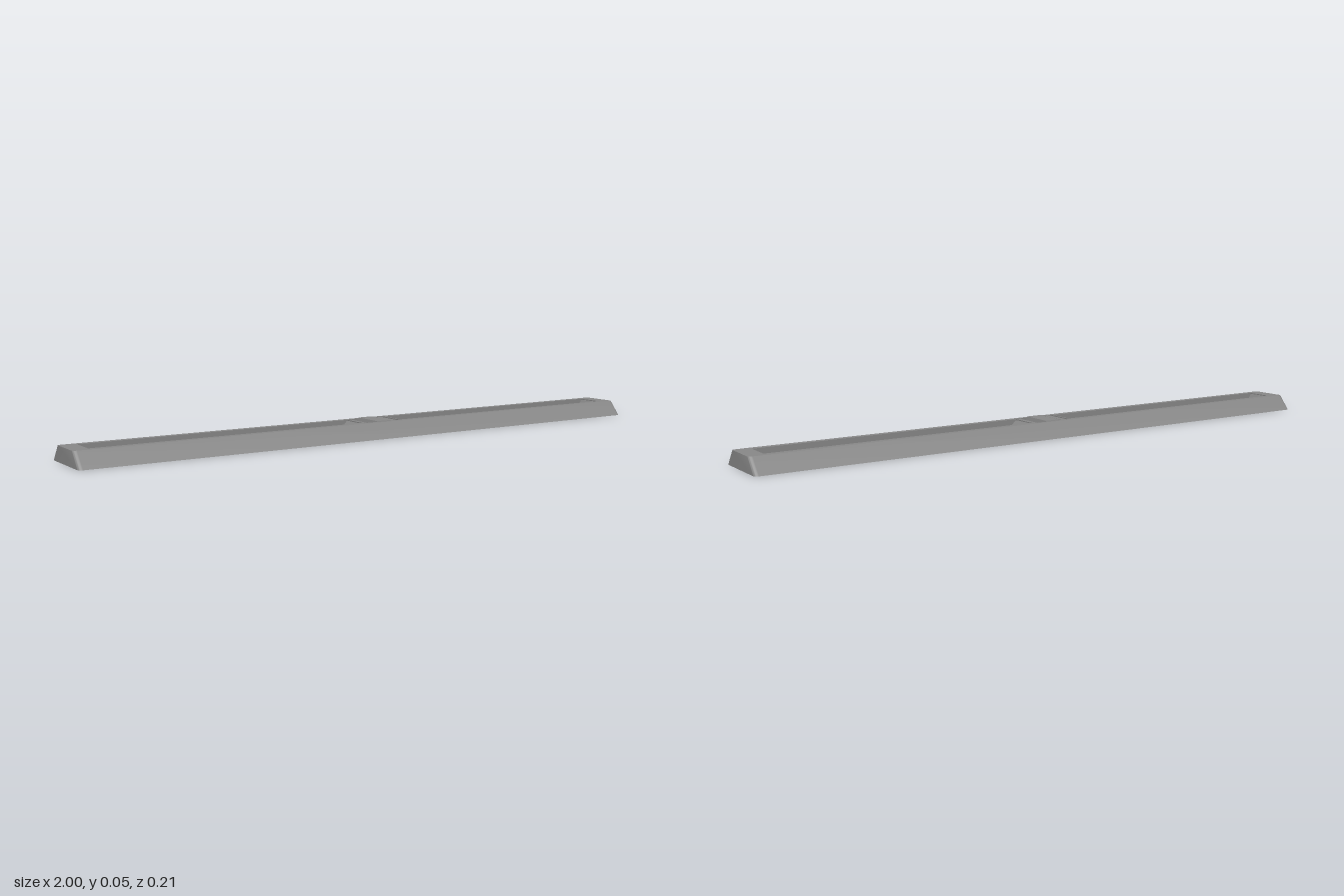
import * as THREE from 'three';
import { toCreasedNormals } from 'three/addons/utils/BufferGeometryUtils.js';

const HEIGHT = 0.047;
const FLOOR = 0.02;

export function createModel() {
  const group = new THREE.Group();
  const material = new THREE.MeshStandardMaterial({ color: 0x888888 });

  const add = (name, geometry) => {
    const mesh = new THREE.Mesh(geometry, material);
    mesh.name = name;
    group.add(mesh);
  };
  const polygon = (points) => points.map(([x, y]) => new THREE.Vector2(x, y));
  const rectangle = (x0, x1, z) => polygon([[x0, -z], [x0, z], [x1, z], [x1, -z]]);
  const extrude = (points, depth, holes = []) => {
    const shape = new THREE.Shape(points);
    shape.holes = holes.map((h) => new THREE.Path(h));
    return new THREE.ExtrudeGeometry(shape, { depth, bevelEnabled: false });
  };

  // Outline with small rounded corners
  const outline = [];
  const radius = 0.012;
  [[1, 1], [-1, 1], [-1, -1], [1, -1]].forEach(([sx, sz], corner) => {
    for (let i = 0; i <= 5; i++) {
      const angle = (corner + i / 5) * Math.PI / 2;
      outline.push(new THREE.Vector2(
        sx * (1 - radius) + radius * Math.cos(angle),
        sz * (0.103 - radius) + radius * Math.sin(angle),
      ));
    }
  });

  // Long housing with three openings
  const slots = [[-0.95, -0.065], [0.08, 0.95]];
  const holes = slots.map(([a, b]) => rectangle(a, b, 0.042));
  holes.push(rectangle(-0.06, 0.075, 0.058));
  const housing = extrude(outline, HEIGHT, holes).rotateX(-Math.PI / 2);

  // Slope the long outer sides inwards towards the top
  const p = housing.attributes.position;
  for (let i = 0; i < p.count; i++) {
    if (Math.abs(p.getX(i)) > 0.98 && p.getY(i) > HEIGHT / 2) p.setZ(i, p.getZ(i) * 0.6);
  }
  add('housing', toCreasedNormals(housing, 0.6));

  // Each slot has a floor, a long bevelled strip and a block at both ends
  slots.forEach(([a, b], i) => {
    const side = i === 0 ? 'right' : 'left';
    const floor = new THREE.BoxGeometry(b - a, FLOOR, 0.084);
    add(side + 'SlotFloor', floor.translate((a + b) / 2, FLOOR / 2, 0));

    const x0 = i === 0 ? -0.9 : 0.12;
    const x1 = i === 0 ? -0.11 : 0.905;
    const profile = polygon([[-0.027, FLOOR - 0.002], [0.027, FLOOR - 0.002], [0.012, 0.034], [-0.012, 0.034]]);
    add(side + 'Strip', extrude(profile, x1 - x0).rotateY(Math.PI / 2).translate(x0, 0, 0));

    // Sloped end blocks, wider beside the centre
    for (const dir of [1, -1]) {
      const x = dir === 1 ? a : b;
      const width = (dir === 1) === (i === 0) ? 0.02 : 0.032;
      const wedge = polygon([[x, FLOOR - 0.002], [x + dir * width, FLOOR - 0.002], [x + dir * width * 0.2, 0.044], [x, 0.044]]);
      add(side + (dir === 1 ? 'SlotFirstBlock' : 'SlotLastBlock'), extrude(wedge, 0.076).translate(0, 0, -0.038));
    }
  });

  // Ribbed centre block with a raised middle pad
  const ribs = polygon([
    [-0.06, 0], [0.075, 0], [0.075, 0.044], [0.055, 0.044], [0.051, 0.03], [0.038, 0.03],
    [0.032, 0.05], [-0.017, 0.05], [-0.023, 0.03], [-0.036, 0.03], [-0.04, 0.044], [-0.06, 0.044],
  ]);
  const centre = extrude(ribs, 0.116).translate(0, 0, -0.058);

  // Draw the pad's top edges in from the housing rails
  const c = centre.attributes.position;
  for (let i = 0; i < c.count; i++) {
    if (c.getY(i) > HEIGHT) c.setZ(i, c.getZ(i) * 0.9);
  }
  centre.computeVertexNormals();
  add('centreBlock', centre);

  return group;
}
